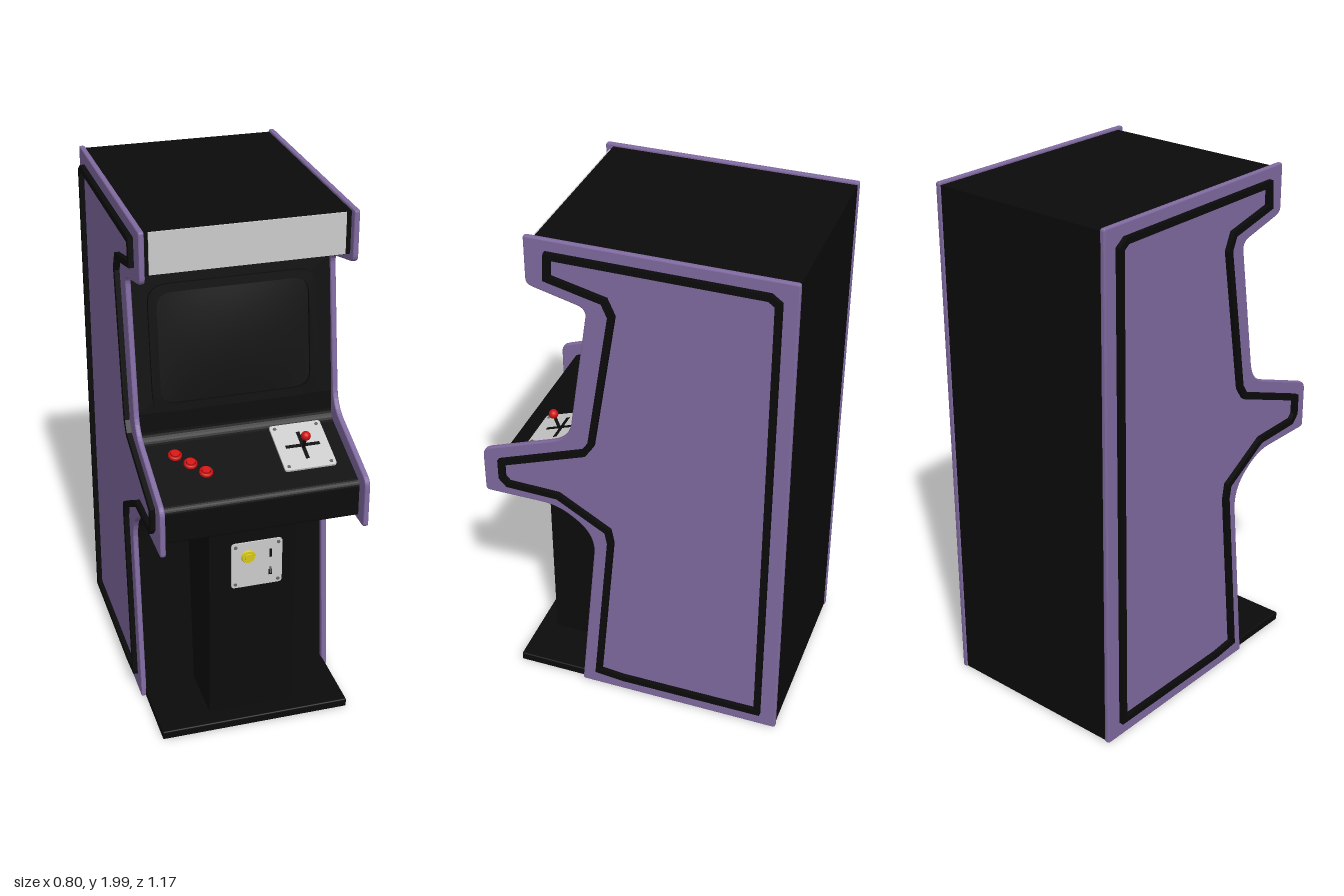
import * as THREE from 'three';
import { RoundedBoxGeometry } from 'three/addons/geometries/RoundedBoxGeometry.js';

const mat = (color) => new THREE.MeshStandardMaterial({ color });
const black = mat(0x0b0b0b), dark = mat(0x111111), purple = mat(0x806aa0);
const grey = mat(0xcccccc), red = mat(0xd01010), yellow = mat(0xd8c818), steel = mat(0x666666);

function add(parent, name, geometry, material, x = 0, y = 0, z = 0) {
  const mesh = new THREE.Mesh(geometry, material);
  mesh.name = name;
  mesh.position.set(x, y, z);
  parent.add(mesh);
  return mesh;
}

function group(parent, name, x, y, z, tilt = 0) {
  const g = new THREE.Group();
  g.name = name;
  g.position.set(x, y, z);
  g.rotation.x = tilt;
  parent.add(g);
  return g;
}

// Closed outline from [a, b, cornerRadius] points
function outline(points) {
  const shape = new THREE.Shape();
  const n = points.length;
  points.forEach(([a, b, r = 0], i) => {
    const p = new THREE.Vector2(a, b);
    const toward = (q) => new THREE.Vector2(q[0], q[1]).sub(p).setLength(r).add(p);
    const s = r ? toward(points[(i + n - 1) % n]) : p;
    if (i === 0) shape.moveTo(s.x, s.y); else shape.lineTo(s.x, s.y);
    if (r) {
      const e = toward(points[(i + 1) % n]);
      shape.quadraticCurveTo(p.x, p.y, e.x, e.y);
    }
  });
  shape.closePath();
  return shape;
}

// Counter-clockwise polygon grown outward by d with mitred corners
function offset(points, d) {
  const n = points.length;
  const normal = (p, q) => new THREE.Vector2(q[1] - p[1], p[0] - q[0]).normalize();
  return points.map((p, i) => {
    const a = normal(points[(i + n - 1) % n], p), b = normal(p, points[(i + 1) % n]);
    const k = d / (1 + a.dot(b));
    return [p[0] + (a.x + b.x) * k, p[1] + (a.y + b.y) * k];
  });
}

// Extrude a (z, y) outline across x, from x0 to x1
function across(shape, x0, x1, bevel = 0) {
  const geometry = new THREE.ExtrudeGeometry(shape, {
    depth: x1 - x0 - 2 * bevel, curveSegments: 6, bevelEnabled: bevel > 0,
    bevelThickness: bevel, bevelSize: bevel, bevelOffset: -bevel, bevelSegments: 2,
  });
  return geometry.rotateY(-Math.PI / 2).translate(x1 - bevel, 0, 0);
}

const rounded = (w, h, r) => outline([
  [-w / 2, -h / 2, r], [w / 2, -h / 2, r], [w / 2, h / 2, r], [-w / 2, h / 2, r]]);

const flat = (shape, depth) => new THREE.ExtrudeGeometry(shape, { depth, bevelEnabled: false, curveSegments: 6 });

// Profiles as [z, y, radius]
const PANEL = [
  [0.37, 2, 0.01], [-0.585, 2, 0.01], [-0.585, 0.01, 0.01], [0.22, 0.01, 0.01],
  [0.145, 0.775, 0.09], [0.29, 0.88, 0.07], [0.585, 0.88, 0.015], [0.585, 1.07, 0.03],
  [0.235, 1.2, 0.07], [0.15, 1.76, 0.035], [0.37, 1.815, 0.025],
];
const BODY = [
  [0.34, 1.99], [-0.58, 1.99], [-0.58, 0.015], [0.195, 0.015], [0.125, 0.77, 0.08],
  [0.27, 0.9, 0.06], [0.53, 0.9, 0.01], [0.53, 1.035, 0.02], [0.215, 1.148, 0.03],
  [0.207, 1.25], [0.14, 1.76], [0.34, 1.835],
];
const STRIPE = [
  [0.28, 1.945], [-0.49, 1.942], [-0.52, 1.92], [-0.512, 0.083], [0.04, 0.08], [0.145, 0.09],
  [0.08, 0.765], [0.09, 0.82], [0.285, 0.935], [0.485, 0.94], [0.508, 0.965], [0.508, 1.035],
  [0.175, 1.16], [0.145, 1.205], [0.055, 1.755], [0.08, 1.812], [0.285, 1.86],
];

export function createModel() {
  const model = new THREE.Group();
  model.name = 'arcadeCabinet';

  // Cabinet body and lit header
  add(model, 'cabinetBody', across(outline(BODY), -0.368, 0.368), black);
  add(model, 'header', new THREE.BoxGeometry(0.69, 0.15, 0.012), grey, 0, 1.913, 0.34);

  // Side panels with a raised outline stripe
  for (const side of [1, -1]) {
    const name = side > 0 ? 'left' : 'right';
    const edges = side > 0 ? [0.364, 0.384] : [-0.384, -0.364];
    add(model, name + 'SidePanel', across(outline(PANEL), ...edges, 0.005), purple);
    const ring = outline(offset(STRIPE, 0.012));
    ring.holes.push(outline(offset(STRIPE, -0.012)));
    const span = side > 0 ? [0.38, 0.402] : [-0.402, -0.38];
    add(model, name + 'Stripe', across(ring, ...span), black);
  }

  // Screen set in a rounded frame, leaning back
  const screen = group(model, 'screen', 0, 1.485, 0.175, -0.135);
  const frame = rounded(0.62, 0.47, 0.07);
  frame.holes.push(rounded(0.56, 0.41, 0.06));
  add(screen, 'screenFrame', flat(frame, 0.018), black, 0, 0, -0.003);
  const glass = new THREE.PlaneGeometry(0.57, 0.42, 16, 12);
  const pos = glass.attributes.position;
  for (let i = 0; i < pos.count; i++) {
    const u = pos.getX(i) / 0.285, v = pos.getY(i) / 0.21;
    pos.setZ(i, 0.002 + 0.012 * (1 - u * u) * (1 - v * v));
  }
  glass.computeVertexNormals();
  add(screen, 'screenGlass', glass, dark);

  // Control deck: local y is the normal of the sloping surface
  const deck = group(model, 'controlDeck', 0, 1.085, 0.39, 0.346);
  for (let i = 0; i < 3; i++) {
    const button = group(deck, 'button', -0.165 - 0.045 * i, 0, -0.048 * i);
    add(button, 'buttonRim', new THREE.LatheGeometry([
      [0.025, -0.005], [0.025, 0.006], [0.021, 0.011], [0.017, 0.011], [0.017, 0.006],
    ].map((p) => new THREE.Vector2(...p)), 24), red);
    add(button, 'buttonCap', new THREE.CylinderGeometry(0.015, 0.016, 0.02, 24), red, 0, 0.005, 0);
  }

  // Joystick on its plate
  const stick = group(deck, 'joystick', 0.2125, 0, -0.056);
  add(stick, 'joystickPlate', flat(rounded(0.195, 0.218, 0.012), 0.008).rotateX(-Math.PI / 2), grey);
  add(stick, 'slotAcross', new THREE.BoxGeometry(0.13, 0.002, 0.014), black, 0, 0.008, 0);
  add(stick, 'slotAlong', new THREE.BoxGeometry(0.014, 0.002, 0.13), black, 0, 0.008, 0);
  add(stick, 'joystickShaft', new THREE.CylinderGeometry(0.006, 0.006, 0.065, 12), black, 0, 0.035, 0.01);
  add(stick, 'joystickBall', new THREE.SphereGeometry(0.018, 20, 14), red, 0, 0.068, 0.01);
  for (const x of [-0.08, 0.08]) for (const z of [-0.092, 0.092])
    add(stick, 'plateScrew', new THREE.CylinderGeometry(0.006, 0.007, 0.004, 10), steel, x, 0.009, z);

  // Coin column and floor plate
  add(model, 'coinColumn', new THREE.BoxGeometry(0.33, 0.87, 0.325), black, 0, 0.47, 0.2625);
  add(model, 'floorPlate', new RoundedBoxGeometry(0.735, 0.034, 0.6, 2, 0.005), black, 0, 0.026, 0.195);

  // Coin plate with return button, slots and screws
  const coin = group(model, 'coinPlate', 0.015, 0.695, 0.425);
  add(coin, 'coinPlateFace', flat(rounded(0.195, 0.19, 0.015), 0.006), grey);
  add(coin, 'coinButtonRim', new THREE.CylinderGeometry(0.024, 0.028, 0.008, 24).rotateX(Math.PI / 2), yellow, -0.033, 0.035, 0.008);
  add(coin, 'coinButton', new THREE.CylinderGeometry(0.014, 0.016, 0.008, 20).rotateX(Math.PI / 2), yellow, -0.033, 0.035, 0.013);
  add(coin, 'coinSlot', new THREE.BoxGeometry(0.009, 0.034, 0.004), black, 0.052, 0.037, 0.006);
  add(coin, 'returnSlot', new THREE.BoxGeometry(0.012, 0.022, 0.004), black, 0.052, -0.045, 0.006);
  add(coin, 'returnLever', new THREE.BoxGeometry(0.005, 0.026, 0.008), steel, 0.052, -0.035, 0.008);
  for (const x of [-0.082, 0.082]) for (const y of [-0.08, 0.08])
    add(coin, 'coinPlateScrew', new THREE.CylinderGeometry(0.006, 0.007, 0.005, 10).rotateX(Math.PI / 2), steel, x, y, 0.007);

  return model;
}
